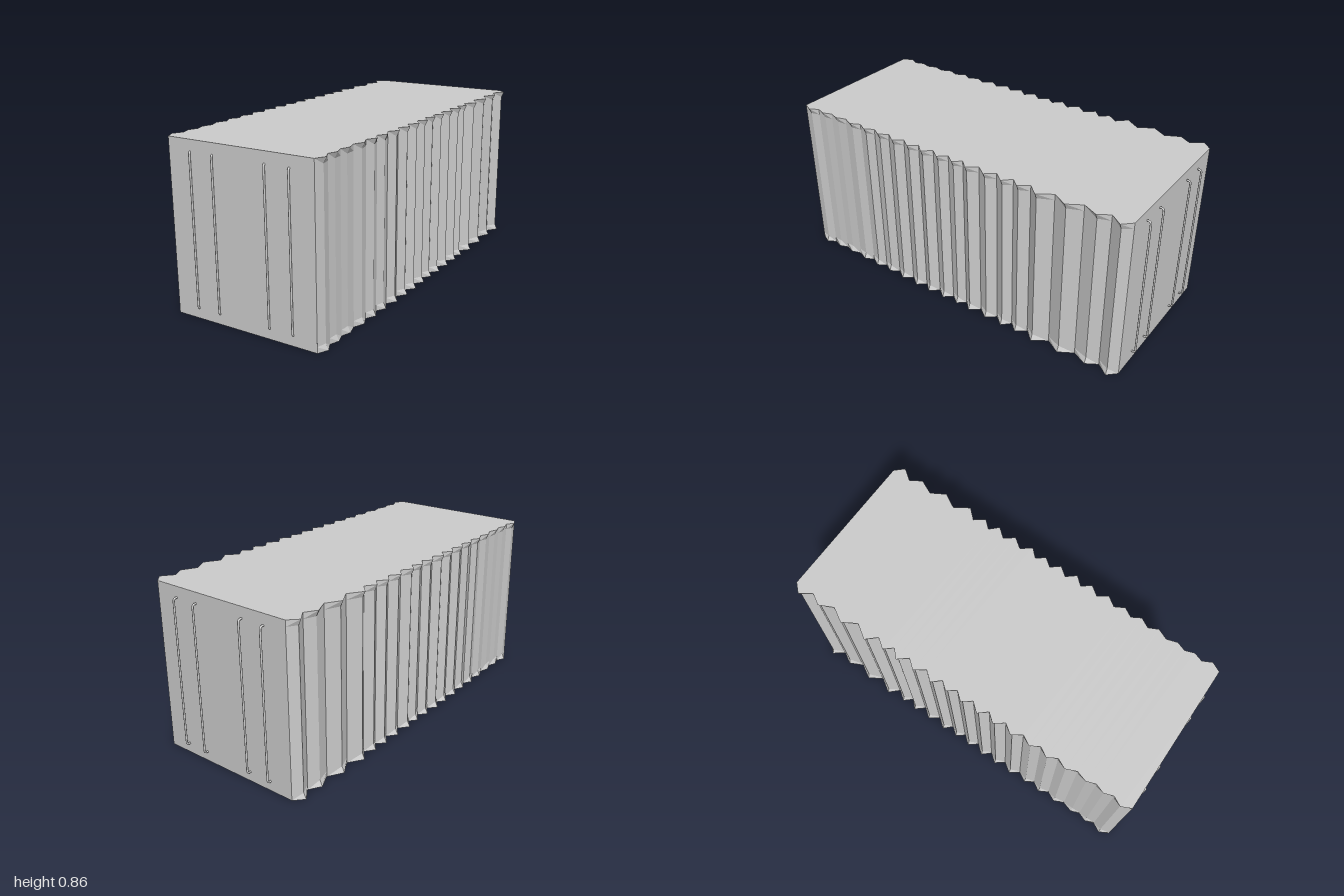
import * as THREE from 'three';

const HEIGHT = 0.86, LIP = 0.03, VALLEY = 0.396, FLARE = 0.014;
const BACK = -0.976, FRONT = 0.99;

// Ridges of the corrugated sides: [z, half width at the lip]
const RIDGES = [
  [-0.93, 0.44], [-0.81, 0.432], [-0.66, 0.44], [-0.51, 0.445], [-0.405, 0.434],
  [-0.32, 0.438], [-0.22, 0.436], [-0.115, 0.437], [-0.03, 0.43], [0.06, 0.433],
  [0.155, 0.436], [0.245, 0.433], [0.345, 0.431], [0.445, 0.424], [0.54, 0.424],
  [0.64, 0.42], [0.75, 0.413], [0.845, 0.413], [0.94, 0.421],
];

// Ridge and valley stations from back to front: { z, lip, wall }
function sideStations() {
  const valley = (z) => ({ z, lip: VALLEY, wall: VALLEY });
  const stations = [valley(BACK)];
  RIDGES.forEach(([z, x], i) => {
    stations.push({ z, lip: x, wall: x - FLARE });
    const next = RIDGES[i + 1];
    stations.push(valley(next ? (z + next[0]) / 2 : FRONT));
  });
  return stations;
}

function bodyGeometry() {
  const positions = [];
  const quad = (a, b, c, d) => positions.push(...a, ...b, ...c, ...a, ...c, ...d);
  const rows = [[0, 'lip'], [LIP, 'wall'], [HEIGHT - LIP, 'wall'], [HEIGHT, 'lip']];
  const stations = sideStations();
  const point = (s, row, side) => [side * s[row[1]], row[0], s.z];
  const [bottom, top] = [rows[0], rows[3]];

  for (let i = 0; i < stations.length - 1; i++) {
    const s = stations[i], t = stations[i + 1];
    // Corrugated walls
    for (let r = 0; r < 3; r++) {
      const lo = rows[r], hi = rows[r + 1];
      quad(point(s, lo, 1), point(s, hi, 1), point(t, hi, 1), point(t, lo, 1));
      quad(point(s, lo, -1), point(t, lo, -1), point(t, hi, -1), point(s, hi, -1));
    }
    // Roof and floor strips
    quad(point(s, top, -1), point(t, top, -1), point(t, top, 1), point(s, top, 1));
    quad(point(s, bottom, -1), point(s, bottom, 1), point(t, bottom, 1), point(t, bottom, -1));
  }

  // Flat end walls
  const b = stations[0], f = stations[stations.length - 1];
  quad(point(f, bottom, -1), point(f, bottom, 1), point(f, top, 1), point(f, top, -1));
  quad(point(b, bottom, 1), point(b, bottom, -1), point(b, top, -1), point(b, top, 1));

  const geometry = new THREE.BufferGeometry();
  geometry.setAttribute('position', new THREE.Float32BufferAttribute(positions, 3));
  geometry.computeVertexNormals();
  return geometry;
}

// Vertical locking rod whose ends bend back into the end wall
function rodGeometry() {
  const radius = 0.005, out = 1 - radius, root = 0.965, low = 0.05, high = 0.805, bend = 0.014;
  const v = (y, z) => new THREE.Vector3(0, y, z);
  const path = new THREE.CurvePath();
  path.add(new THREE.LineCurve3(v(low, root), v(low, out - bend)));
  path.add(new THREE.QuadraticBezierCurve3(v(low, out - bend), v(low, out), v(low + bend, out)));
  path.add(new THREE.LineCurve3(v(low + bend, out), v(high - bend, out)));
  path.add(new THREE.QuadraticBezierCurve3(v(high - bend, out), v(high, out), v(high, out - bend)));
  path.add(new THREE.LineCurve3(v(high, out - bend), v(high, root)));
  return new THREE.TubeGeometry(path, 160, radius, 10, false);
}

export function createModel() {
  const model = new THREE.Group();
  model.name = 'shippingContainer';
  const bodyMaterial = new THREE.MeshStandardMaterial({ color: 0xcccccc, flatShading: true });
  const rodMaterial = new THREE.MeshStandardMaterial({ color: 0xcccccc });

  const body = new THREE.Mesh(bodyGeometry(), bodyMaterial);
  body.name = 'corrugatedBody';
  model.add(body);

  // Four rods on each end
  const rod = rodGeometry();
  for (const [name, turn] of [['frontRods', 0], ['backRods', Math.PI]]) {
    const rods = new THREE.Group();
    rods.name = name;
    rods.rotation.y = turn;
    [-0.27, -0.143, 0.143, 0.27].forEach((x, i) => {
      const mesh = new THREE.Mesh(rod, rodMaterial);
      mesh.name = `lockingRod${i + 1}`;
      mesh.position.x = x;
      rods.add(mesh);
    });
    model.add(rods);
  }
  return model;
}
